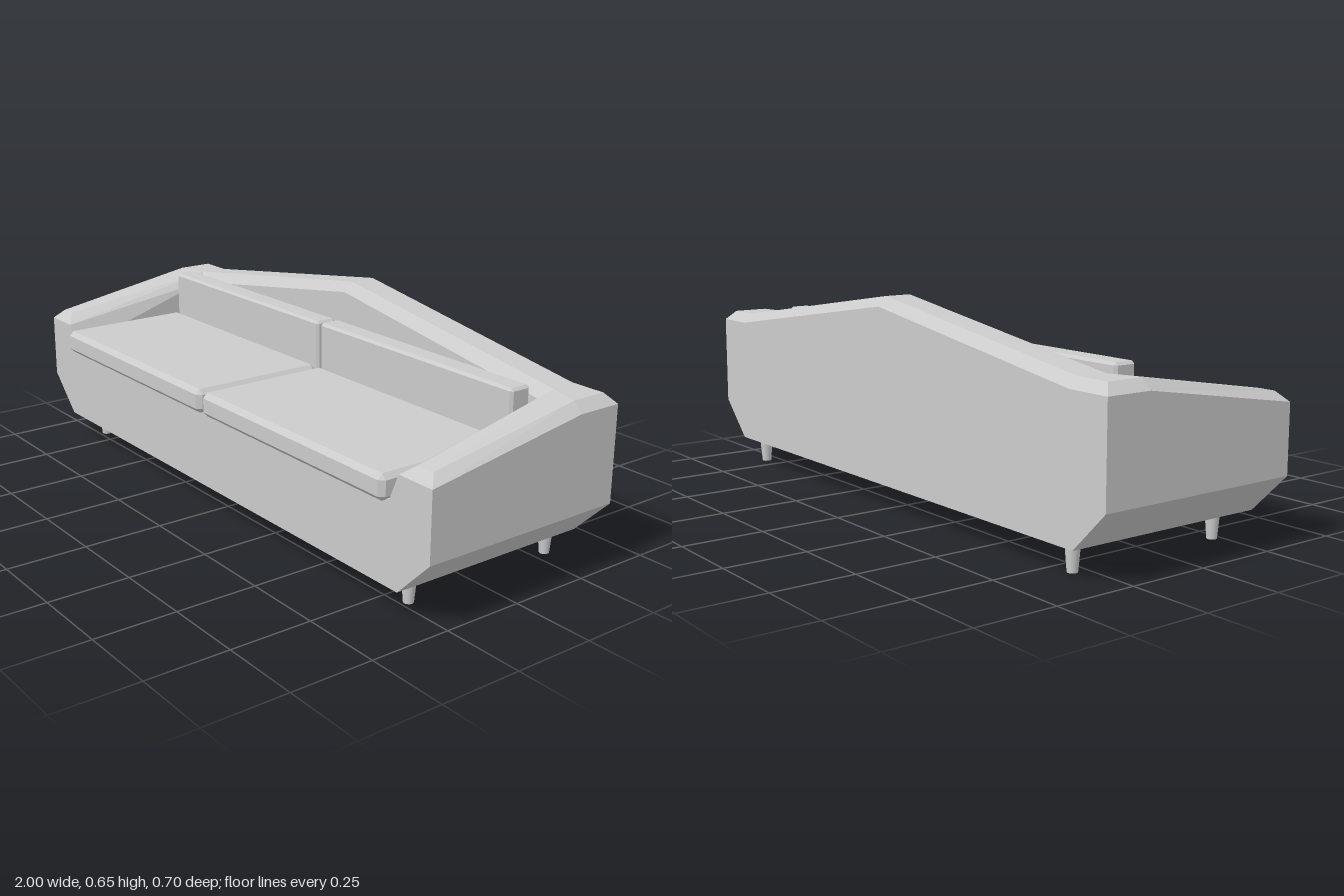
import * as THREE from 'three';
import { ConvexGeometry } from 'three/addons/geometries/ConvexGeometry.js';

const material = new THREE.MeshStandardMaterial({ color: 0xcccccc, flatShading: true });
const smooth = new THREE.MeshStandardMaterial({ color: 0xcccccc });

// Flat-shaded geometry from convex polygons (corners counter-clockwise)
function fromPolygons(polygons) {
  const pos = [];
  for (const p of polygons) {
    for (let i = 1; i < p.length - 1; i++) pos.push(...p[0], ...p[i], ...p[i + 1]);
  }
  const g = new THREE.BufferGeometry();
  g.setAttribute('position', new THREE.Float32BufferAttribute(pos, 3));
  g.computeVertexNormals();
  return g;
}

// Box with every edge cut at 45 degrees
function chamferedBox(w, h, d, c) {
  const pts = [];
  for (const sx of [-1, 1]) for (const sy of [-1, 1]) for (const sz of [-1, 1]) {
    const x = w / 2, y = h / 2, z = d / 2;
    pts.push(
      new THREE.Vector3(sx * x, sy * (y - c), sz * (z - c)),
      new THREE.Vector3(sx * (x - c), sy * y, sz * (z - c)),
      new THREE.Vector3(sx * (x - c), sy * (y - c), sz * z));
  }
  return new ConvexGeometry(pts);
}

// Shell: sections run from one arm's front, around the back, to the other arm.
// Each section: underside edge, flare, outer shoulder, outer ridge, inner ridge, inner shoulder, deck
function frameGeometry() {
  const F = 0.32, B = -0.348, I = -0.205;
  const inner = [[0.87, 0.52, -0.235], [0.845, 0.49, I], [0.84, 0.325, I]];
  const half = [
    [[0.88, 0.08, F], [1, 0.2, F], [1, 0.405, F], [0.97, 0.435, 0.29], [0.915, 0.435, 0.29], [0.875, 0.405, F], [0.84, 0.325, F]],
    [[0.88, 0.08, I], [1, 0.2, I], [1, 0.49, I], [0.97, 0.52, I], ...inner],
    [[0.88, 0.08, B], [1, 0.2, B], [1, 0.49, B], [0.97, 0.52, -0.32], ...inner],
    [[0.85, 0.08, B], [0.86, 0.2, B], [0.86, 0.49, B], [0.86, 0.52, -0.32], ...inner],
  ];
  const middle = [[0, 0.08, B], [0, 0.2, B], [0, 0.62, B], [0, 0.65, -0.32], [0, 0.65, -0.235], [0, 0.62, I], [0, 0.325, I]];
  const mirror = (s) => s.map(([x, y, z]) => [-x, y, z]);
  const sections = [...half, middle, ...half.map(mirror).reverse()];

  const polys = [];
  for (let i = 0; i < sections.length - 1; i++) {
    const a = sections[i], b = sections[i + 1];
    for (let j = 0; j < a.length - 1; j++) polys.push([a[j], b[j], b[j + 1], a[j + 1]]);
  }
  // Front panel, arm ends, seat deck and underside
  const R = half[0], L = mirror(R);
  polys.push([L[0], R[0], R[1], L[1]], [L[1], R[1], R[6], L[6]]);
  polys.push([R[1], R[2], R[5], R[6]], [L[6], L[5], L[2], L[1]]);
  polys.push([R[2], R[3], R[4], R[5]], [L[5], L[4], L[3], L[2]]);
  const deckBack = half[1][6], base = half[2][0];
  polys.push([L[6], R[6], deckBack, mirror([deckBack])[0]]);
  polys.push([R[0], L[0], mirror([base])[0], base]);
  return fromPolygons(polys);
}

export function createModel() {
  const model = new THREE.Group();
  model.name = 'sofa';

  const add = (name, geometry, x, y, z, mat = material) => {
    const mesh = new THREE.Mesh(geometry, mat);
    mesh.name = name;
    mesh.position.set(x, y, z);
    model.add(mesh);
  };

  add('frame', frameGeometry(), 0, 0, 0);

  // Cushions and tapered legs, mirrored left and right
  const seat = chamferedBox(0.836, 0.075, 0.451, 0.015);
  const back = chamferedBox(0.836, 0.215, 0.072, 0.008);
  const leg = new THREE.CylinderGeometry(0.022, 0.015, 0.082, 16);
  for (const [side, s] of [['left', 1], ['right', -1]]) {
    add(side + 'SeatCushion', seat, s * 0.424, 0.3585, 0.1225);
    add(side + 'BackCushion', back, s * 0.424, 0.4295, -0.139);
    add(side + 'FrontLeg', leg, s * 0.82, 0.041, 0.225, smooth);
    add(side + 'BackLeg', leg, s * 0.82, 0.041, -0.294, smooth);
  }
  return model;
}
